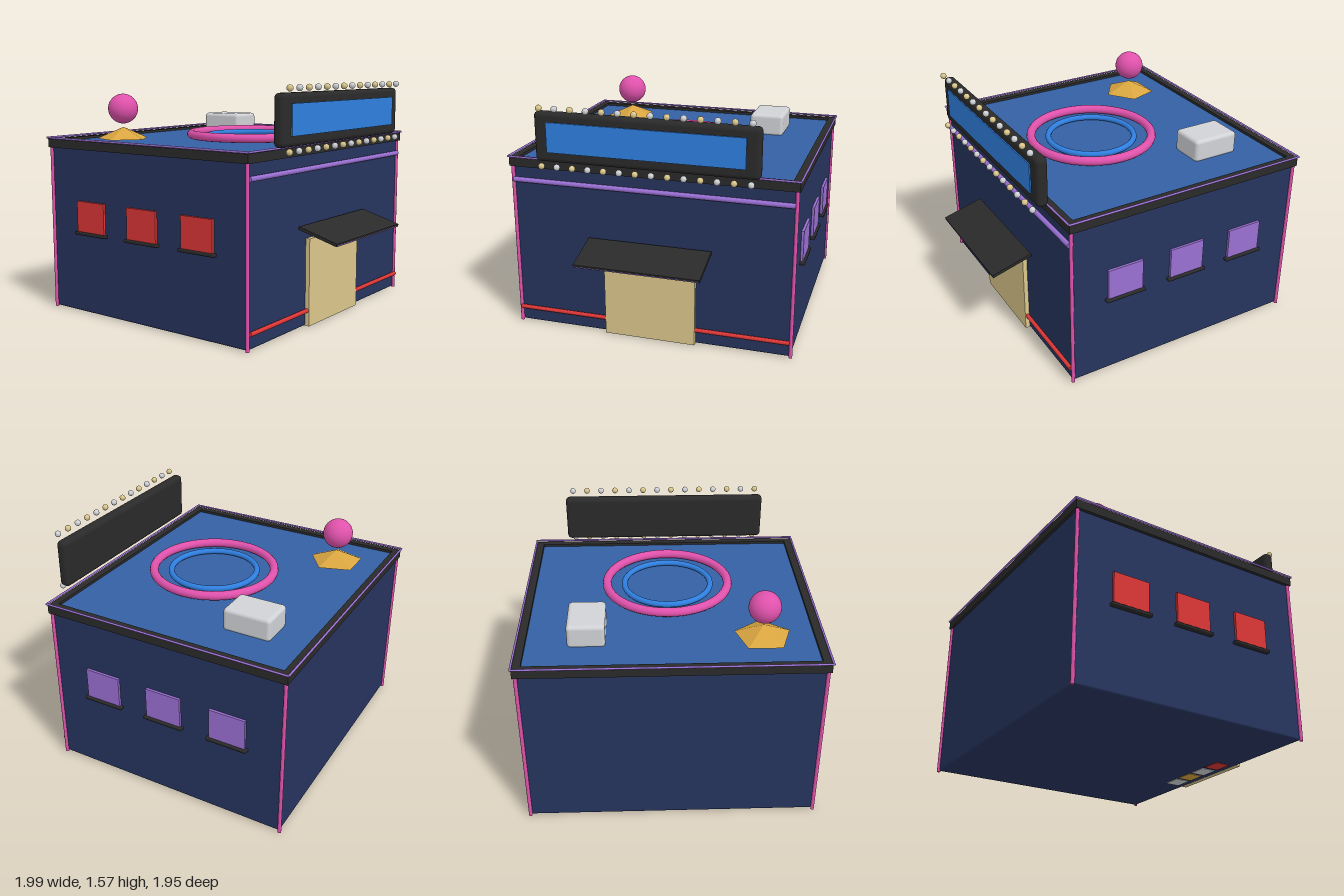
import * as THREE from 'three';
import { RoundedBoxGeometry } from 'three/addons/geometries/RoundedBoxGeometry.js';

const mat = (name, color) => {
  const m = new THREE.MeshStandardMaterial({ color });
  m.name = name;
  return m;
};

export function createModel() {
  const navy = mat('navy wall', 0x26345e);
  const deckBlue = mat('roof blue', 0x3560a4);
  const blue = mat('bright blue', 0x2f7fe0);
  const red = mat('red', 0xdd3636);
  const pink = mat('pink', 0xe052ac);
  const purple = mat('purple', 0x9a70d4);
  const gold = mat('gold', 0xd9a540);
  const tan = mat('tan', 0xdcc88c);
  const silver = mat('silver', 0xd0d2d6);
  const black = mat('black', 0x2a2a2a);

  const model = new THREE.Group();
  model.name = 'building';

  const add = (name, geometry, material, x = 0, y = 0, z = 0) => {
    const mesh = new THREE.Mesh(geometry, material);
    mesh.name = name;
    mesh.position.set(x, y, z);
    model.add(mesh);
    return mesh;
  };
  const box = (name, material, size, pos) => add(name, new THREE.BoxGeometry(...size), material, ...pos);
  const rounded = (name, material, size, r, pos) =>
    add(name, new RoundedBoxGeometry(...size, 3, r), material, ...pos);
  const rod = (name, material, r, length, pos, axis = 'y') => {
    const mesh = add(name, new THREE.CylinderGeometry(r, r, length, 12), material, ...pos);
    if (axis === 'z') mesh.rotation.x = Math.PI / 2;
    if (axis === 'x') mesh.rotation.z = Math.PI / 2;
    return mesh;
  };

  const cx = -0.135; // middle of the building in x

  // Walls and roof deck
  rounded('walls', navy, [1.67, 1.14, 1.88], 0.015, [cx, 0.574, 0]);
  box('roofDeck', deckBlue, [1.64, 0.04, 1.85], [cx, 1.145, 0]);

  // Parapet ring around the roof
  const rect = (T, w, d) => {
    const s = new T();
    s.moveTo(-w, -d);
    s.lineTo(w, -d);
    s.lineTo(w, d);
    s.lineTo(-w, d);
    s.closePath();
    return s;
  };
  const ring = rect(THREE.Shape, 0.853, 0.96);
  ring.holes.push(rect(THREE.Path, 0.805, 0.908));
  const parapet = new THREE.ExtrudeGeometry(ring, { depth: 0.058, bevelEnabled: false });
  parapet.rotateX(-Math.PI / 2);
  add('parapet', parapet, black, cx, 1.125, 0);

  // Thin light line around the parapet
  for (const s of [-1, 1]) {
    rod('roofLine', purple, 0.007, 1.72, [cx, 1.191, s * 0.963], 'x');
    rod('roofLine', purple, 0.007, 1.93, [cx + s * 0.857, 1.191, 0], 'z');
  }

  // Corner light tubes
  for (const x of [-0.971, 0.701]) {
    for (const z of [-0.942, 0.942]) rod('cornerTube', pink, 0.012, 1.13, [x, 0.565, z]);
  }

  // Entrance wall light tubes
  rod('upperTube', purple, 0.017, 1.87, [0.708, 1.033, 0], 'z');
  rod('lowerTube', red, 0.014, 1.87, [0.714, 0.108, 0], 'z');

  // Windows with sills on both long sides
  for (const s of [-1, 1]) {
    for (const x of [-0.595, -0.135, 0.325]) {
      box('window', s > 0 ? red : purple, [0.25, 0.21, 0.03], [x, 0.67, s * 0.942]);
      rounded('windowSill', black, [0.285, 0.022, 0.045], 0.008, [x, 0.556, s * 0.95]);
    }
  }

  // Door and sloping canopy
  box('door', tan, [0.04, 0.58, 0.62], [0.71, 0.294, 0]);
  const canopy = box('canopy', black, [0.288, 0.02, 0.83], [0.852, 0.63, 0]);
  canopy.rotation.z = -0.275;
  rod('canopyLight', purple, 0.006, 0.82, [0.984, 0.587, 0], 'z');

  // Coloured tiles set under the entrance floor
  [silver, gold, silver, red].forEach((m, i) =>
    box('floorTile', m, [0.11, 0.009, 0.13], [0.59, 0.0045, -0.23 + i * 0.153]));

  // Sign board with bulbs
  rounded('signBoard', black, [0.076, 0.325, 1.46], 0.03, [0.763, 1.361, 0]);
  box('signPanel', blue, [0.009, 0.195, 1.285], [0.8045, 1.363, 0]);
  const bulb = new THREE.SphereGeometry(0.021, 12, 8);
  for (let i = 0; i < 14; i++) {
    const z = 0.68 - i * 0.1045;
    for (const y of [1.552, 1.175]) add('signBulb', bulb, i % 2 ? silver : tan, 0.815, y, z);
  }

  // Roof rings
  const outer = add('outerRing', new THREE.TorusGeometry(0.415, 0.03, 12, 64), pink, 0.03, 1.206, 0);
  const inner = add('innerRing', new THREE.TorusGeometry(0.295, 0.02, 12, 64), blue, 0.03, 1.195, 0);
  outer.rotation.x = inner.rotation.x = Math.PI / 2;

  // Roof unit
  rounded('roofUnit', silver, [0.325, 0.155, 0.24], 0.025, [-0.555, 1.232, -0.528]);

  // Five-sided pedestal with a ball; one corner points to +x
  const cone = new THREE.ConeGeometry(0.185, 0.08, 5).toNonIndexed();
  cone.rotateY(Math.PI / 2);
  cone.computeVertexNormals();
  add('pedestal', cone, gold, -0.638, 1.218, 0.583);
  add('ball', new THREE.SphereGeometry(0.103, 32, 20), pink, -0.638, 1.385, 0.583);

  return model;
}
